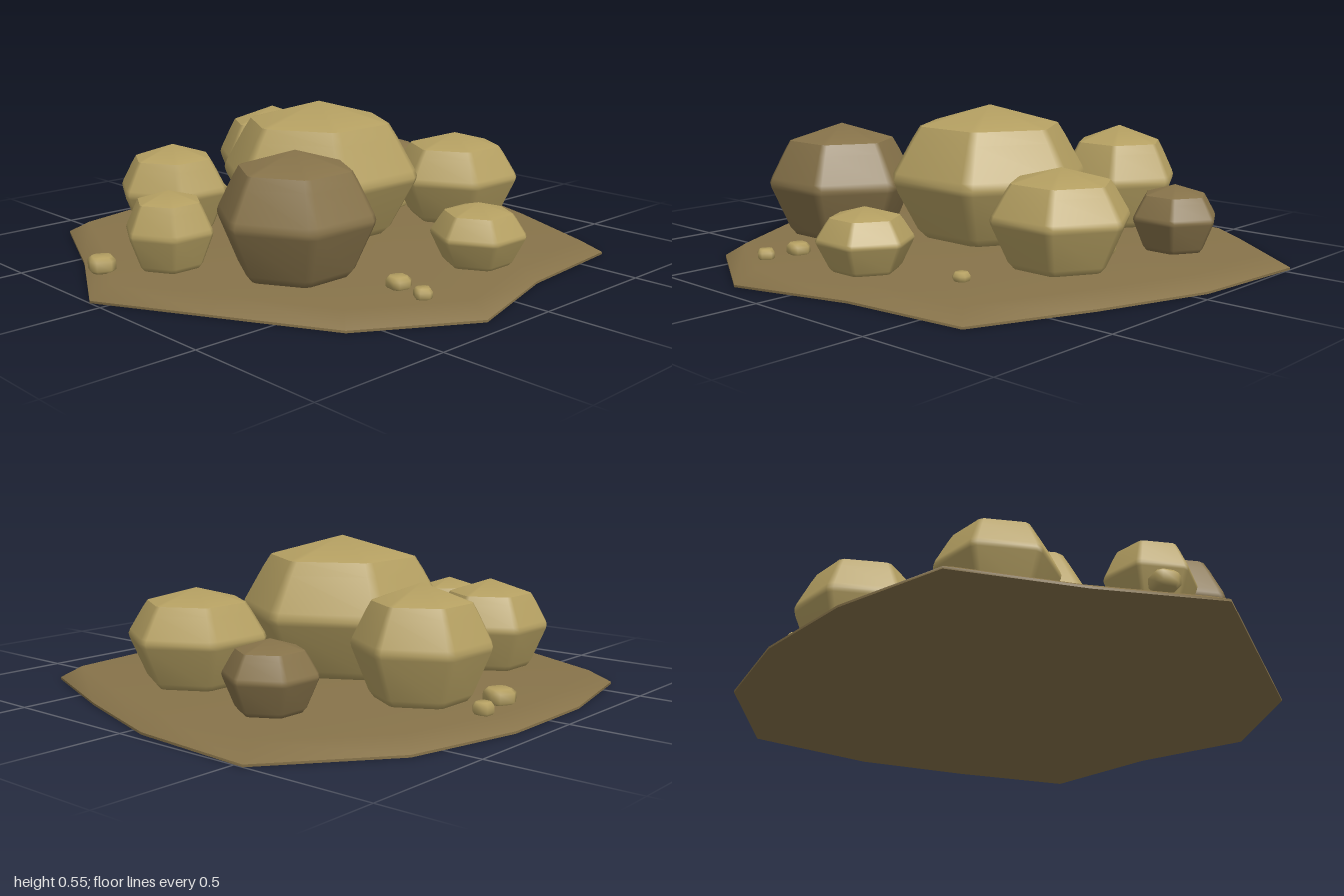
import * as THREE from 'three';
import { mergeGeometries } from 'three/addons/utils/BufferGeometryUtils.js';

const material = color => new THREE.MeshStandardMaterial({ color });
const sand = material(0xb5a062);
const darkStone = material(0x87734a);
const earth = material(0x87734a);

// Skins a stack of rings (listed from bottom to top) with smooth normals; one-point rings are tips.
function skin(rings) {
  const points = rings.flat();
  const index = [];
  let start = 0;
  for (let r = 0; r + 1 < rings.length; r++) {
    const a = rings[r].length, b = rings[r + 1].length, next = start + a;
    for (let i = 0; i < Math.max(a, b); i++) {
      const a0 = start + i % a, a1 = start + (i + 1) % a;
      const b0 = next + i % b, b1 = next + (i + 1) % b;
      if (a > 1) index.push(a0, a1, b0);
      if (b > 1) index.push(a1, b1, b0);
    }
    start = next;
  }
  const geometry = new THREE.BufferGeometry();
  geometry.setAttribute('position', new THREE.Float32BufferAttribute(points.flat(), 3));
  geometry.setIndex(index);
  geometry.computeVertexNormals();
  return geometry;
}

// Regular polygon with bevelled corners, the first corner pointing along +x
function ring(sides, radius, y, bevel) {
  const points = [];
  for (let i = 0; i < sides; i++) {
    for (const s of [-1, 1]) {
      const angle = -(i * Math.PI * 2 / sides + s * bevel);
      const r = radius / Math.cos(bevel);
      points.push([r * Math.cos(angle), y, r * Math.sin(angle)]);
    }
  }
  // Counter-clockwise seen from above
  return points.map(([x, y0, z]) => [x, y0, z]);
}

// Faceted boulder: bevelled belt and shoulder, shallow pointed cap
function boulderGeometry(radius, belt, shoulder, top) {
  const base = 0.06;
  const at = (k, y) => ring(6, radius * k, y, 0.06);
  const mix = THREE.MathUtils.lerp;
  const body = skin([
    [[0, base - 0.02, 0]],
    at(0.66, base),
    at(0.74, mix(base, belt, 0.13)),
    at(0.985, mix(base, belt, 0.91)),
    at(1, belt),
    at(0.975, mix(belt, shoulder, 0.13)),
    at(0.79, mix(belt, shoulder, 0.76)),
    at(0.71, shoulder),
  ]);
  const cap = skin([at(0.71, shoulder), [[0, top, 0]]]);
  return mergeGeometries([body, cap]);
}

// Small block with bevelled edges
function pebbleGeometry(radius, top) {
  const base = 0.045, edge = 0.012;
  const at = (k, y) => ring(4, radius * k, y, 0.27);
  return skin([
    [[0, base, 0]], at(0.72, base), at(1, base + edge),
    at(1, top - edge), at(0.72, top), [[0, top, 0]],
  ]);
}

export function createModel() {
  const model = new THREE.Group();
  const add = (name, geometry, mat, x = 0, z = 0, turn = 0) => {
    const mesh = new THREE.Mesh(geometry, mat);
    mesh.name = name;
    mesh.position.set(x, 0, z);
    mesh.rotation.y = turn;
    model.add(mesh);
  };

  // Ground slab with an irregular outline and sloping rim
  const outline = [
    [-0.79, -0.43], [-1, -0.06], [-0.8, 0.315], [-0.595, 0.7], [-0.215, 0.93],
    [0.205, 0.805], [0.66, 0.76], [0.83, 0.345], [0.965, -0.06], [1, -0.535],
    [0.62, -0.835], [0.205, -0.93], [-0.2, -0.925], [-0.605, -0.835],
  ];
  const slice = (k, y) => outline.map(([x, z]) => [x * k, y, z * k]);
  add('ground', mergeGeometries([
    skin([[[0, 0, 0]], slice(1, 0)]),
    skin([slice(1, 0), slice(1, 0.008)]),
    skin([slice(1, 0.008), slice(0.92, 0.05), [[0, 0.05, 0]]]),
  ]), earth);

  // Boulders: x, z, radius, belt height, shoulder height, top height, material
  const boulders = [
    [0.01, -0.065, 0.37, 0.28, 0.472, 0.545, sand],
    [-0.422, 0.284, 0.27, 0.255, 0.412, 0.472, darkStone],
    [0.528, 0.154, 0.243, 0.225, 0.343, 0.39, sand],
    [0.225, -0.579, 0.23, 0.24, 0.38, 0.442, sand],
    [-0.378, -0.451, 0.208, 0.215, 0.33, 0.38, sand],
    [-0.681, -0.06, 0.155, 0.185, 0.285, 0.32, sand],
    [0.66, -0.319, 0.155, 0.175, 0.255, 0.29, darkStone],
    [0.097, 0.631, 0.163, 0.162, 0.237, 0.27, sand],
  ];
  boulders.forEach(([x, z, radius, belt, shoulder, top, mat], i) =>
    add(`boulder${i + 1}`, boulderGeometry(radius, belt, shoulder, top), mat, x, z));

  // Pebbles: x, z, radius, top height, turn
  const pebbles = [
    [0.075, -0.785, 0.052, 0.1, 0.35], [0.23, -0.825, 0.033, 0.09, 0.7],
    [0.5, -0.125, 0.04, 0.09, 1.0], [-0.863, -0.197, 0.048, 0.1, 0.4],
    [-0.277, 0.615, 0.04, 0.09, 0.6], [-0.297, 0.738, 0.031, 0.085, 0.2],
    [0.405, 0.498, 0.028, 0.08, 0.9],
  ];
  pebbles.forEach(([x, z, radius, top, turn], i) =>
    add(`pebble${i + 1}`, pebbleGeometry(radius, top), sand, x, z, turn));

  return model;
}
